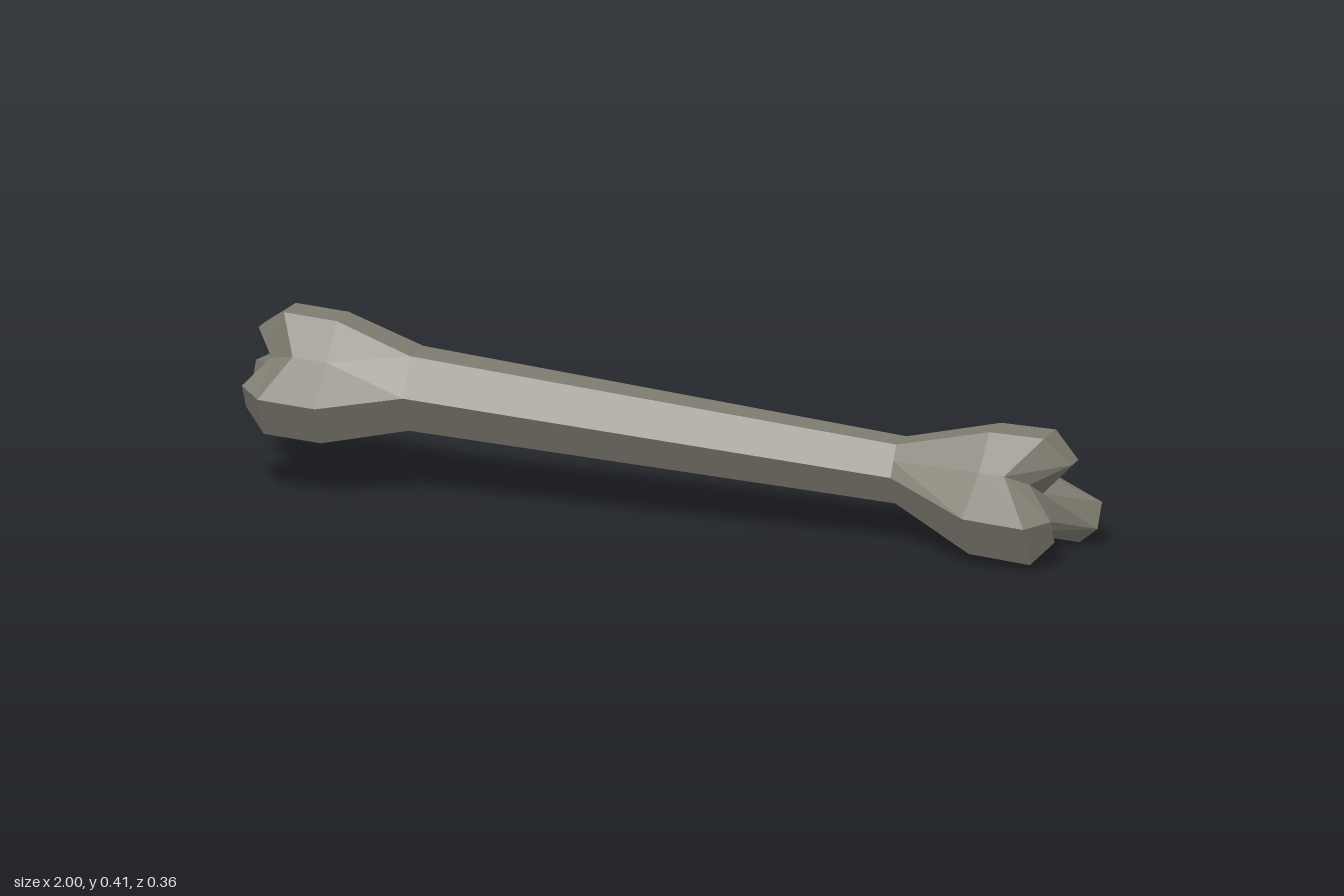
import * as THREE from 'three';

const ROLL = 93; // direction of the top lobe, in degrees from +z towards +y

// Point at distance r and angle deg from the gently sloping centre line
function onAxis(x, r, deg, side = 0) {
  const a = THREE.MathUtils.degToRad(deg);
  return [
    x,
    0.217 - 0.073 * x + r * Math.sin(a) + side * Math.cos(a),
    0.004 * x + r * Math.cos(a) - side * Math.sin(a),
  ];
}

// Ring of nine points: two corners for each lobe and one groove point after it
function ring(lobes, groove) {
  return lobes.flatMap(([x, r, half], i) => {
    const deg = ROLL + i * 120;
    return [
      onAxis(x, r, deg, -half),
      onAxis(x, r, deg, half),
      onAxis(groove[0], groove[1], deg + 60),
    ];
  });
}

// Six-sided shaft section
function hexRing(x, R) {
  const lobe = [x, R * 0.866, R * 0.5];
  return ring([lobe, lobe, lobe], [x, R * 0.866]);
}

// Skin between rings ordered along +x, with an optional closing point at either end
function skin(name, rings, material, startPoint, endPoint) {
  const pos = [];
  const tri = (a, b, c) => pos.push(...a, ...b, ...c);
  const n = rings[0].length;
  for (let k = 0; k < n; k++) {
    const m = (k + 1) % n;
    for (let i = 0; i + 1 < rings.length; i++) {
      const a = rings[i][k], b = rings[i + 1][k], c = rings[i + 1][m], d = rings[i][m];
      if (k % 3 === 1) { tri(a, b, d); tri(b, c, d); }
      else { tri(a, b, c); tri(a, c, d); }
    }
    const last = rings[rings.length - 1];
    if (startPoint) tri(startPoint, rings[0][k], rings[0][m]);
    if (endPoint) tri(endPoint, last[m], last[k]);
  }
  const geometry = new THREE.BufferGeometry();
  geometry.setAttribute('position', new THREE.Float32BufferAttribute(pos, 3));
  geometry.computeVertexNormals();
  const mesh = new THREE.Mesh(geometry, material);
  mesh.name = name;
  return mesh;
}

export function createModel() {
  const group = new THREE.Group();
  group.name = 'bone';
  const bone = new THREE.MeshStandardMaterial({ color: 0x7f7c70, flatShading: true });
  bone.name = 'grey bone';

  const shaftLeft = hexRing(0.56, 0.079);
  const shaftRight = hexRing(-0.585, 0.1);

  // Lobe order: top, back, front; each entry is [x, radius, half width]
  const leftKnuckle = [
    shaftLeft,
    ring([[0.78, 0.135, 0.045], [0.77, 0.172, 0.054], [0.76, 0.172, 0.054]], [0.77, 0.098]),
    ring([[0.91, 0.141, 0.045], [0.945, 0.174, 0.055], [0.905, 0.174, 0.055]], [0.83, 0.1]),
    ring([[0.97, 0.085, 0.025], [0.999, 0.116, 0.032], [0.95, 0.114, 0.032]], [0.88, 0.062]),
  ];
  const rightKnuckle = [
    ring([[-0.95, 0.088, 0.025], [-0.999, 0.118, 0.032], [-0.96, 0.112, 0.032]], [-0.91, 0.062]),
    ring([[-0.885, 0.138, 0.045], [-0.945, 0.176, 0.053], [-0.905, 0.168, 0.053]], [-0.85, 0.1]),
    ring([[-0.76, 0.138, 0.045], [-0.77, 0.174, 0.053], [-0.77, 0.168, 0.053]], [-0.77, 0.1]),
    shaftRight,
  ];

  group.add(
    skin('shaft', [shaftRight, shaftLeft], bone),
    skin('leftKnuckle', leftKnuckle, bone, null, onAxis(0.895, 0, 0)),
    skin('rightKnuckle', rightKnuckle, bone, onAxis(-0.92, 0, 0), null),
  );
  return group;
}
